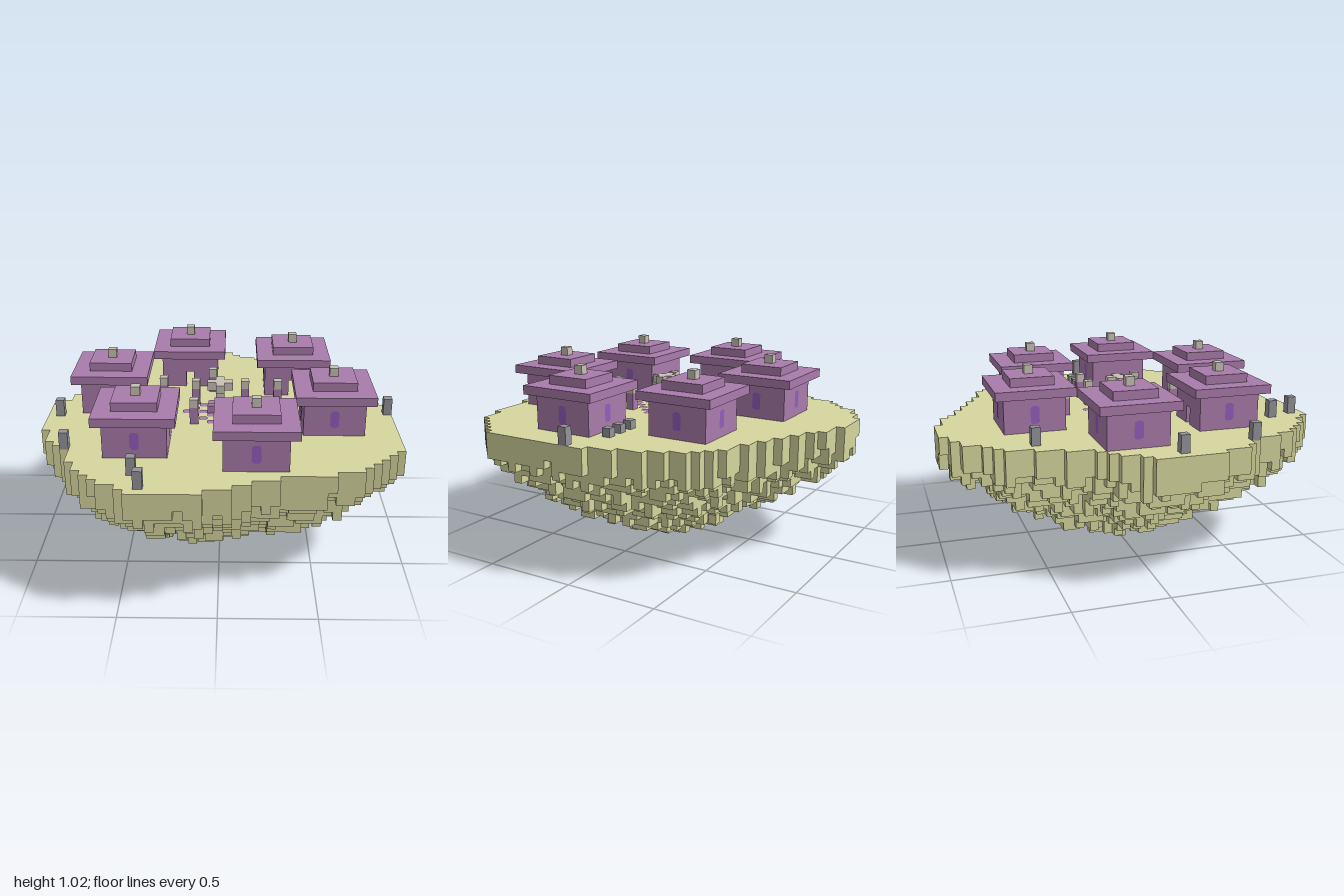
import * as THREE from 'three';

const U = 2 / 43;      // size of one block
const GROUND = 15;     // ground level, in blocks

const mat = (name, color) => {
  const m = new THREE.MeshStandardMaterial({ color });
  m.name = name;
  return m;
};

// Island outline: first and last block of each row, from back to front
const LEFT = [-6, -8, -10, -10, -11, -12, -13, -13, -13, -14, -14, -14, -15, -15, -15, -16, -17, -18, -18, -19,
  -20, -20, -20, -20, -20, -20, -20, -20, -19, -19, -19, -18, -17, -16, -16, -16, -15, -15, -14, -13, -12, -10, -9];
const RIGHT = [-2, 1, 2, 4, 6, 8, 10, 13, 14, 15, 16, 16, 17, 17, 18, 18, 18, 19, 19, 19,
  20, 20, 20, 20, 20, 20, 20, 20, 20, 20, 20, 20, 20, 19, 18, 17, 16, 15, 12, 6, 3, 1, -2];

const inside = (x, z) => {
  const r = Math.round(z) + 21, c = Math.round(x);
  return r >= 0 && r < 43 && c >= LEFT[r] && c <= RIGHT[r];
};

// Repeatable noise per block column
const noise = (x, z) => {
  const s = Math.sin(x * 127.1 + z * 311.7) * 43758.5453;
  return s - Math.floor(s);
};

// Depth of the column below the ground, deepest near the middle
function depth(x, z) {
  if (!inside(x, z)) return 0;
  const dx = x, dz = z - 1, r = Math.hypot(dx, dz);
  let edge = r;
  if (r > 0) while (inside(dx / r * edge, 1 + dz / r * edge)) edge += 0.25;
  const d = r > 0 ? r / edge : 0;
  const rough = 2.2 * noise(x, z) * Math.min(1, 0.3 + d * 2);
  return Math.max(2, Math.min(GROUND, Math.round(15.9 - 12 * d ** 1.55 - rough)));
}

// Only the outer faces of the block columns
function islandGeometry() {
  const pos = [];
  const quad = (a, b, c, d) => {
    for (const p of [a, b, c, a, c, d]) pos.push(p[0] * U, p[1] * U, p[2] * U);
  };
  for (let z = -21; z <= 21; z++) {
    for (let x = LEFT[z + 21]; x <= RIGHT[z + 21]; x++) {
      const h = depth(x, z), lo = GROUND - h;
      const x0 = x - 0.5, x1 = x + 0.5, z0 = z - 0.5, z1 = z + 0.5;
      quad([x0, GROUND, z0], [x0, GROUND, z1], [x1, GROUND, z1], [x1, GROUND, z0]);
      quad([x0, lo, z0], [x1, lo, z0], [x1, lo, z1], [x0, lo, z1]);
      for (const [nx, nz] of [[1, 0], [-1, 0], [0, 1], [0, -1]]) {
        const n = depth(x + nx, z + nz);
        if (n >= h) continue;
        const cx = x + nx / 2, cz = z + nz / 2, tx = nz / 2, tz = -nx / 2, hi = GROUND - n;
        quad([cx - tx, lo, cz - tz], [cx + tx, lo, cz + tz], [cx + tx, hi, cz + tz], [cx - tx, hi, cz - tz]);
      }
    }
  }
  const g = new THREE.BufferGeometry();
  g.setAttribute('position', new THREE.Float32BufferAttribute(pos, 3));
  g.computeVertexNormals();
  return g;
}

// Eight-sided flat plate with cut corners
function octagon(w, h, cut) {
  const a = w / 2, b = h / 2, s = new THREE.Shape();
  [[-a + cut, -b], [a - cut, -b], [a, -b + cut], [a, b - cut], [a - cut, b], [-a + cut, b], [-a, b - cut], [-a, -b + cut]]
    .forEach(([x, y], i) => (i ? s.lineTo(x * U, y * U) : s.moveTo(x * U, y * U)));
  return new THREE.ShapeGeometry(s);
}

export function createModel() {
  const model = new THREE.Group();
  model.name = 'floatingVillage';
  const grass = mat('olive ground', 0xd6d79e);
  const purple = mat('purple wood', 0xa97cab);
  const violet = mat('violet glass', 0x925fbd);
  const paleStone = mat('pale stone', 0xc8c2b6);
  const darkStone = mat('dark stone', 0x95959a);

  // Box in block units, y is its bottom
  const box = (parent, name, m, w, h, d, x, y, z) => {
    const b = new THREE.Mesh(new THREE.BoxGeometry(w * U, h * U, d * U), m);
    b.position.set(x * U, (y + h / 2) * U, z * U);
    b.name = name;
    parent.add(b);
  };

  const island = new THREE.Mesh(islandGeometry(), grass);
  island.name = 'island';
  model.add(island);

  // Houses: built with the doorway at +z, then turned towards the square
  const pane = octagon(1, 2, 0.22);
  for (const [x, z, turn] of [[-4, -11, 0], [9, -8, 0], [-13, -2, 1], [13, 4, -1], [-9, 10, 2], [4, 13, 2]]) {
    const house = new THREE.Group();
    house.name = 'house';
    house.position.set(x * U, GROUND * U, z * U);
    house.rotation.y = turn * Math.PI / 2;
    model.add(house);
    box(house, 'backWall', purple, 7, 4, 1, 0, 0, -3);
    for (const s of [-1, 1]) {
      box(house, 'sideWall', purple, 1, 4, 5, 3 * s, 0, 0);
      box(house, 'doorWall', purple, 3, 4, 1, 2 * s, 0, 3);
    }
    box(house, 'doorLintel', purple, 1, 2, 1, 0, 2, 3);
    box(house, 'roofEaves', purple, 9, 1, 9, 0, 4, 0);
    box(house, 'roofTop', purple, 5, 1, 5, 0, 5, 0);
    box(house, 'chimney', paleStone, 1, 1, 1, 0, 6, 0);
    // Window panes on the outside and inside of the three closed walls
    for (const angle of [Math.PI, Math.PI / 2, -Math.PI / 2]) {
      for (const [name, dist, flip] of [['windowOutside', 3.53, 0], ['windowInside', 2.47, Math.PI]]) {
        const w = new THREE.Mesh(pane, violet);
        w.name = name;
        w.rotation.y = angle + flip;
        w.position.set(Math.sin(angle) * dist * U, 2 * U, Math.cos(angle) * dist * U);
        house.add(w);
      }
    }
  }

  // Lamp posts around the square
  for (const [x, z] of [[-7, -3], [7, -2], [-7, 4], [6, 5], [-1, -6], [0, 8], [-3, -2], [3, -2], [-3, 4], [3, 4]]) {
    box(model, 'lampPost', purple, 1, 2, 1, x, GROUND, z);
    box(model, 'lampHead', paleStone, 1, 1, 1, x, GROUND + 2, z);
  }

  // Fountain in the middle, with a crown of arms and low feet
  box(model, 'fountainColumn', paleStone, 1, 4, 1, 0, GROUND, 1);
  for (const [dx, dz] of [[1, 0], [-1, 0], [0, 1], [0, -1]]) {
    box(model, 'fountainArm', paleStone, 1, 1, 1, dx, GROUND + 3, 1 + dz);
    box(model, 'fountainFoot', purple, 1, 1, 1, dx, GROUND, 1 + dz);
  }

  // Diamond of paving in a checker pattern
  const tile = octagon(1, 1, 0.18);
  for (let dx = -4; dx <= 4; dx++) {
    for (let dz = -4; dz <= 4; dz++) {
      const n = Math.abs(dx) + Math.abs(dz);
      if (n > 4 || n % 2 || n === 0) continue;
      const t = new THREE.Mesh(tile, purple);
      t.name = 'pavingTile';
      t.rotation.x = -Math.PI / 2;
      t.position.set(dx * U, (GROUND + 0.08) * U, (1 + dz) * U);
      model.add(t);
    }
  }

  // Standing stones near the rim and low stones behind one house
  for (const [x, z] of [[-12, -12], [-19, 2], [-17, 11], [-9, 17], [-8, 20], [20, 1]]) {
    box(model, 'standingStone', darkStone, 1, 2, 1, x, GROUND, z);
  }
  for (const x of [11, 13, 15]) box(model, 'lowStone', darkStone, 1, 1, 1, x, GROUND, -1);

  return model;
}
